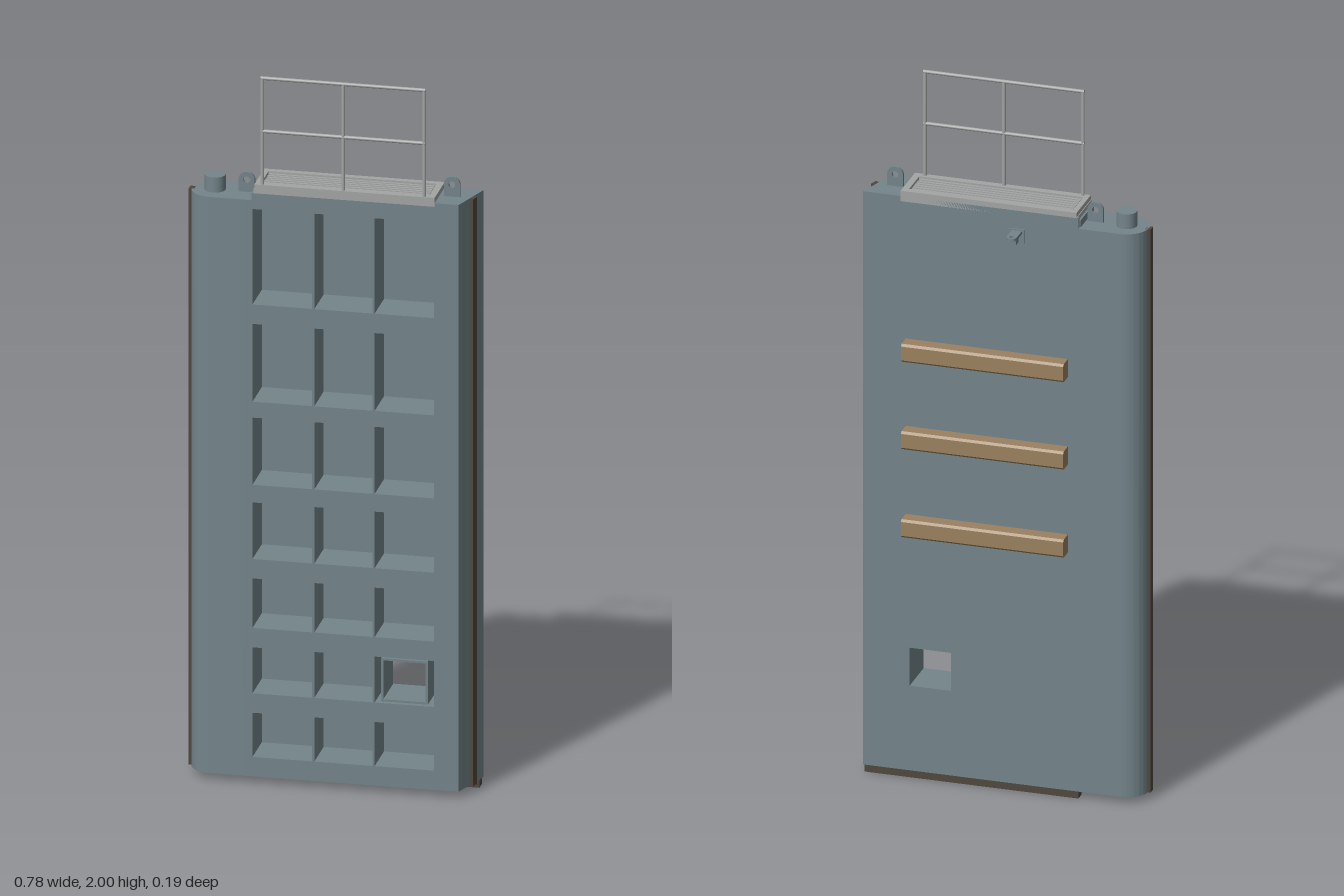
import * as THREE from 'three';
import { toCreasedNormals } from 'three/addons/utils/BufferGeometryUtils.js';

const mat = (name, color) => Object.assign(new THREE.MeshStandardMaterial({ color }), { name });

export function createModel() {
  const steel = mat('blue grey paint', 0x74858b);
  const grey = mat('galvanised steel', 0xa3a5a5);
  const timber = mat('timber', 0x9c8160);
  const rubber = mat('dark rubber', 0x50473f);
  const brass = mat('bronze', 0xb08d50);
  const gate = new THREE.Group();
  gate.name = 'lockGateLeaf';

  const add = (name, geo, material, parent = gate) => {
    const m = new THREE.Mesh(geo, material);
    m.name = name;
    parent.add(m);
    return m;
  };
  // box given by its limits on each axis
  const box = (name, material, x0, x1, y0, y1, z0, z1) => {
    const m = add(name, new THREE.BoxGeometry(x1 - x0, y1 - y0, z1 - z0), material);
    m.position.set((x0 + x1) / 2, (y0 + y1) / 2, (z0 + z1) / 2);
    return m;
  };
  const rect = (x0, x1, y0, y1, C = THREE.Shape) => new C([
    new THREE.Vector2(x0, y0), new THREE.Vector2(x1, y0),
    new THREE.Vector2(x1, y1), new THREE.Vector2(x0, y1)]);
  const extrude = (shape, depth) => toCreasedNormals(
    new THREE.ExtrudeGeometry(shape, { depth, bevelEnabled: false, curveSegments: 24 }), 0.6);
  // plan outline (x, -z) raised from y0 to y1
  const column = (name, shape, y0, y1) =>
    add(name, extrude(shape, y1 - y0).rotateX(-Math.PI / 2).translate(0, y0, 0), steel);

  const BACK = -0.033, FRONT = 0.093, SKIN = -0.023, L = -0.21, R = 0.285;

  // rounded heel post and slanted mitre post
  const heel = new THREE.Shape();
  heel.moveTo(L, -FRONT);
  heel.lineTo(L, -BACK);
  heel.lineTo(-0.325, -BACK);
  heel.absarc(-0.325, -0.03, 0.063, Math.PI / 2, Math.PI * 1.5, false);
  heel.closePath();
  column('heelPost', heel, 0.02, 1.65);
  const mitre = new THREE.Shape([[R, -FRONT], [0.35, -FRONT], [0.39, -BACK], [R, -BACK]]
    .map(p => new THREE.Vector2(...p)));
  column('mitrePost', mitre, 0.02, 1.68);

  // girder grid with open pockets at the front
  const cols = [[L, -0.048], [-0.042, 0.116], [0.122, R - 0.001]];
  const rows = [[0.075, 0.2], [0.255, 0.385], [0.44, 0.58], [0.635, 0.795],
    [0.845, 1.035], [1.08, 1.3], [1.355, 1.625]];
  const grid = rect(L - 0.003, R, 0.07, 1.67);
  for (const [y0, y1] of rows)
    for (const [x0, x1] of cols) grid.holes.push(rect(x0, x1, y0, y1, THREE.Path));
  add('girderGrid', extrude(grid, FRONT - SKIN).translate(0, 0, SKIN), steel);

  // back skin plate with the sluice opening, and its tunnel
  const skin = rect(L, R, 0.02, 1.68);
  skin.holes.push(rect(0.145, 0.26, 0.265, 0.375, THREE.Path));
  add('backSkin', extrude(skin, SKIN - BACK).translate(0, 0, BACK), steel);
  const tunnel = rect(0.139, 0.266, 0.259, 0.381);
  tunnel.holes.push(rect(0.145, 0.26, 0.265, 0.375, THREE.Path));
  add('sluiceTunnel', extrude(tunnel, 0.09 - SKIN).translate(0, 0, SKIN), steel);

  // open bottom cells with ribs
  box('bottomFrontPlate', steel, L, R, 0.02, 0.07, FRONT - 0.01, FRONT);
  for (const x of [-0.045, 0.119]) box('bottomRib', steel, x - 0.003, x + 0.003, 0.02, 0.07, SKIN, FRONT - 0.01);

  // rubber seals and bottom bearing
  box('sillSeal', rubber, L, 0.386, 0, 0.02, BACK, -0.003);
  box('heelSeal', rubber, -0.395, -0.38, 0.02, 1.65, 0.018, 0.04);
  const seal = box('mitreSeal', rubber, 0.364, 0.382, 0.02, 1.68, 0.018, 0.04);
  seal.rotation.y = -0.308;
  add('pintleBearing', new THREE.CylinderGeometry(0.022, 0.022, 0.004, 32), brass).position.set(-0.325, 0.019, 0.03);
  add('heelPin', new THREE.CylinderGeometry(0.028, 0.028, 0.045, 32), steel).position.set(-0.325, 1.67, 0.03);

  // walkway deck, raised rim and grating bars
  box('deck', grey, L + 0.003, R, 1.665, 1.682, BACK, FRONT);
  const rim = rect(L + 0.005, R, -FRONT, -BACK);
  rim.holes.push(rect(-0.19, 0.267, -0.073, 0.015, THREE.Path));
  add('deckRim', extrude(rim, 0.014).rotateX(-Math.PI / 2).translate(0, 1.681, 0), grey);
  for (let i = 0; i < 6; i++) {
    const z = -0.005 + i * 0.0138;
    box('gratingBar', grey, -0.187, 0.264, 1.682, 1.692, z - 0.004, z + 0.004);
  }
  for (const x of [-0.045, 0.12]) box('gratingCrossBar', grey, x - 0.002, x + 0.002, 1.682, 1.69, -0.015, 0.073);

  // handrail
  for (const x of [-0.185, 0.035, 0.255])
    add('railPost', new THREE.CylinderGeometry(0.005, 0.005, 0.31, 12), grey).position.set(x, 1.84, 0.086);
  for (const y of [1.845, 1.995]) {
    const rail = add('handrail', new THREE.CylinderGeometry(0.005, 0.005, 0.448, 12), grey);
    rail.rotation.z = Math.PI / 2;
    rail.position.set(0.035, y, 0.086);
  }

  // rounded plate with an eye, base at the origin
  const eyePlate = (r, h, hole, t) => {
    const s = new THREE.Shape();
    s.moveTo(-r, 0);
    s.lineTo(r, 0);
    s.lineTo(r, h - r);
    s.absarc(0, h - r, r, 0, Math.PI, false);
    s.closePath();
    s.holes.push(new THREE.Path().absarc(0, h - r, hole, 0, Math.PI * 2, true));
    return extrude(s, t).translate(0, 0, -t / 2);
  };
  for (const [x, y] of [[-0.239, 1.648], [0.319, 1.678]])
    add('liftingLug', eyePlate(0.022, 0.058, 0.009, 0.008), steel).position.set(x, y, 0.029);

  // tie bracket on the back
  const bracket = add('tieLug', eyePlate(0.014, 0.063, 0.006, 0.008), steel);
  bracket.rotation.x = -Math.PI / 2;
  bracket.position.set(-0.04, 1.62, BACK + 0.001);
  box('tieBackPlate', steel, -0.062, -0.018, 1.59, 1.628, BACK - 0.004, BACK);
  box('tieGusset', steel, -0.045, -0.035, 1.592, 1.617, -0.062, BACK);

  // chamfered timber fenders on the back, profile in (-z, y)
  const c = 0.006, d = 0.042, h = 0.026;
  const profile = new THREE.Shape([[0, -h], [d - c, -h], [d, -h + c], [d, h - c], [d - c, h], [0, h]]
    .map(p => new THREE.Vector2(...p)));
  for (const y of [0.735, 0.99, 1.243])
    add('timberFender', extrude(profile, 0.452).rotateY(Math.PI / 2), timber).position.set(-0.181, y, BACK);

  return gate;
}
